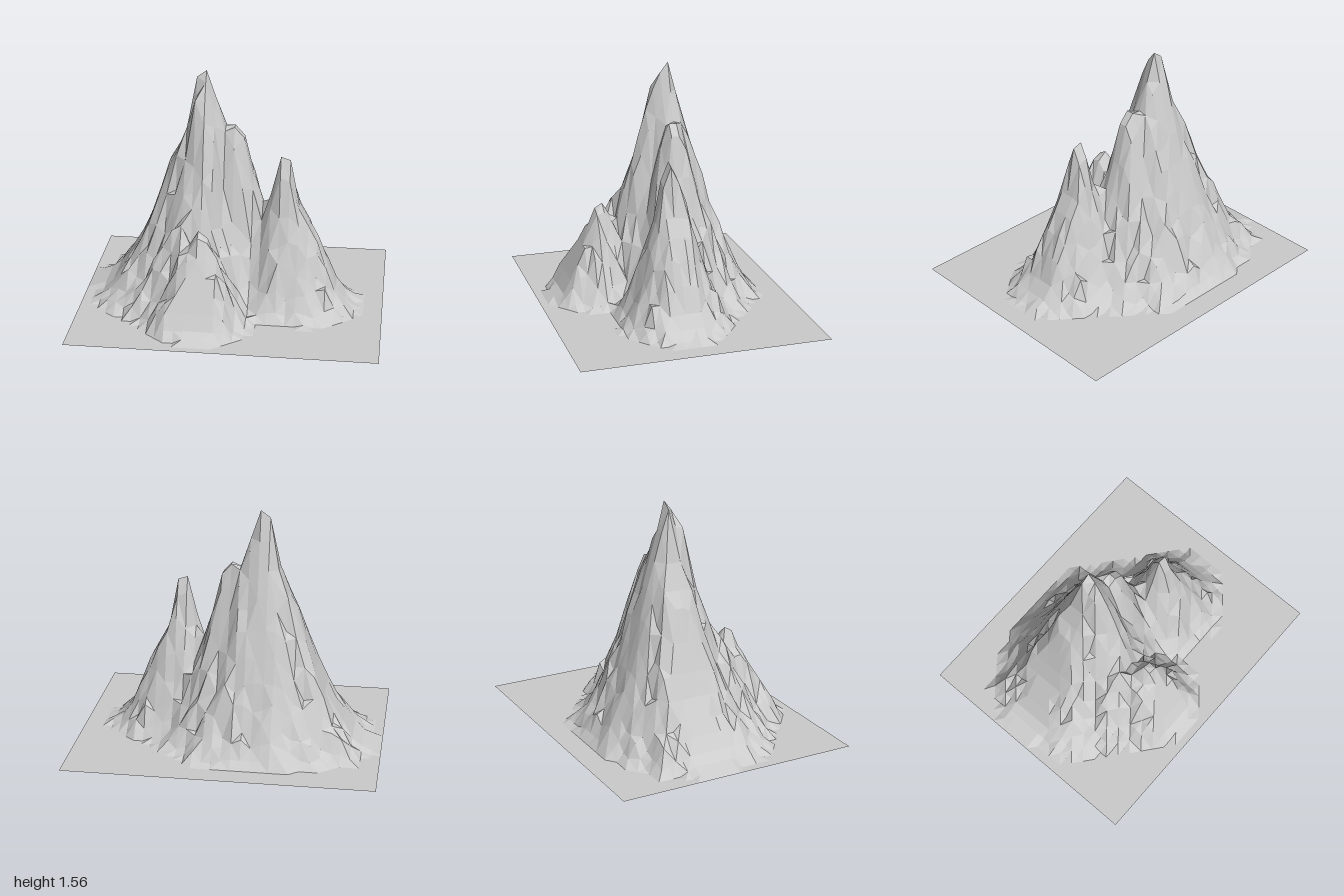
import * as THREE from 'three';

// Peaks: centre x, z, height, reach to -x, +x, -z, +z, steepness, flat-top limit
const PEAKS = [
  [-0.21, -0.101, 1.66, 0.80, 0.80, 0.59, 0.52, 1.6, 1.56],   // main summit
  [-0.2, -0.04, 1.62, 0.50, 0.40, 0.40, 0.52, 1.4, 1.49],     // summit's front ridge
  [0.0, -0.08, 1.42, 0.40, 0.48, 0.49, 0.40, 1.5, 1.21],      // shoulder
  [0.34, 0.0506, 1.20, 0.40, 0.53, 0.43, 0.37, 1.65, 1.04],   // side summit
  [-0.17, 0.375, 0.70, 0.40, 0.32, 0.32, 0.385, 1.15, 0.63],  // front knoll
  [-0.3125, 0.22, 0.70, 0.45, 0.30, 0.25, 0.36, 1.3, 0.66],   // front ridge
  [-0.5, 0.12, 0.50, 0.43, 0.40, 0.40, 0.35, 1.5, 0.5],       // left spur
  [0.5, 0.14, 0.48, 0.28, 0.29, 0.38, 0.27, 1.25, 0.48],      // right spur
];

// Skyline limits along x and along z, as [position, height]
const SKYLINE_X = [[-1, 0], [-0.88, 0.04], [-0.8, 0.1], [-0.6, 0.43], [-0.5, 0.72], [-0.4375, 0.92], [-0.375, 1.02],
  [-0.3125, 1.18], [-0.25, 1.51], [-0.1875, 1.56], [-0.125, 1.37], [-0.0625, 1.22], [0, 1.19], [0.0625, 1.12],
  [0.125, 0.86], [0.1875, 0.7], [0.25, 0.83], [0.3125, 1.04], [0.375, 1.02], [0.4375, 0.7], [0.5625, 0.47],
  [0.6875, 0.15], [0.75, 0.07], [0.87, 0]];
const SKYLINE_Z = [[-0.66, 0], [-0.6, 0.09], [-0.5, 0.28], [-0.4, 0.51], [-0.3, 0.84], [-0.2, 1.22], [-0.15, 1.37],
  [-0.1, 1.56], [-0.05, 1.5], [0, 1.38], [0.05, 1.3], [0.1, 1.1], [0.2, 0.84], [0.25, 0.65], [0.3, 0.54],
  [0.35, 0.63], [0.4, 0.61], [0.5, 0.38], [0.6, 0.17], [0.66, 0.06], [0.76, 0]];

const CELLS = 32;

function along(points, t) {
  for (let i = 1; i < points.length; i++) {
    const [a, ha] = points[i - 1], [b, hb] = points[i];
    if (t >= a && t <= b) return ha + (hb - ha) * (t - a) / (b - a);
  }
  return 0;
}

function makeRandom(seed) {
  return () => {
    seed = (seed * 16807) % 2147483647;
    return seed / 2147483647;
  };
}

function peakHeight([cx, cz, h, left, right, back, front, power, limit], x, z) {
  const dx = (x - cx) / (x < cx ? left : right);
  const dz = (z - cz) / (z < cz ? back : front);
  const d = Math.hypot(dx, dz);
  // Gullies run down the slope, fading out at the top
  const angle = Math.atan2(dz, dx);
  const gully = 0.03 * Math.min(1, d * 3) * (Math.sin(angle * 9 + cx * 20) + Math.sin(angle * 17 + cz * 30));
  const fall = Math.max(0, 1 - d * (1 + gully));
  return Math.min(limit, h * Math.pow(fall, power));
}

// Mountain and flat surrounding ground as one height grid
function buildMountain(material) {
  const geometry = new THREE.PlaneGeometry(2, 1.62, CELLS, CELLS).rotateX(-Math.PI / 2);
  const position = geometry.attributes.position;
  const random = makeRandom(4711);
  for (let i = 0; i < position.count; i++) {
    const x = position.getX(i), z = position.getZ(i);
    const base = Math.max(...PEAKS.map((peak) => peakHeight(peak, x, z)));
    const onSummit = PEAKS.some(([cx, cz]) => Math.hypot(x - cx, z - cz) < 0.06);
    const rough = (random() - 0.5) * (onSummit ? 0 : Math.min(0.1, base * 0.45));
    const y = Math.min(base + rough, along(SKYLINE_X, x), along(SKYLINE_Z, z));
    position.setY(i, y < 0.012 ? 0 : y);
  }
  // Cells are split along alternating diagonals
  const index = [];
  for (let row = 0; row < CELLS; row++) {
    for (let col = 0; col < CELLS; col++) {
      const a = row * (CELLS + 1) + col, b = a + CELLS + 1, c = b + 1, d = a + 1;
      if ((row + col) % 2) index.push(a, b, d, b, c, d);
      else index.push(a, b, c, a, c, d);
    }
  }
  geometry.setIndex(index);
  geometry.computeVertexNormals();
  const mesh = new THREE.Mesh(geometry, material);
  mesh.name = 'mountain';
  return mesh;
}

// Small cone-shaped heap of pebbles hidden inside the hollow mountain
function buildPebbles(material) {
  const group = new THREE.Group();
  group.name = 'pebbleHeap';
  const geometry = new THREE.IcosahedronGeometry(0.014, 0);
  for (let i = 0; i < 36; i++) {
    const t = i / 35;
    const radius = 0.065 * (1 - t);
    const pebble = new THREE.Mesh(geometry, material);
    pebble.name = 'pebble';
    pebble.position.set(Math.cos(i * 2.4) * radius, 0.02 + 0.22 * t, Math.sin(i * 2.4) * radius);
    group.add(pebble);
  }
  return group;
}

export function createModel() {
  const material = new THREE.MeshStandardMaterial({ color: 0xcccccc, flatShading: true, side: THREE.DoubleSide });
  const model = new THREE.Group();
  model.name = 'mountainTerrain';
  model.add(buildMountain(material), buildPebbles(material));
  return model;
}
